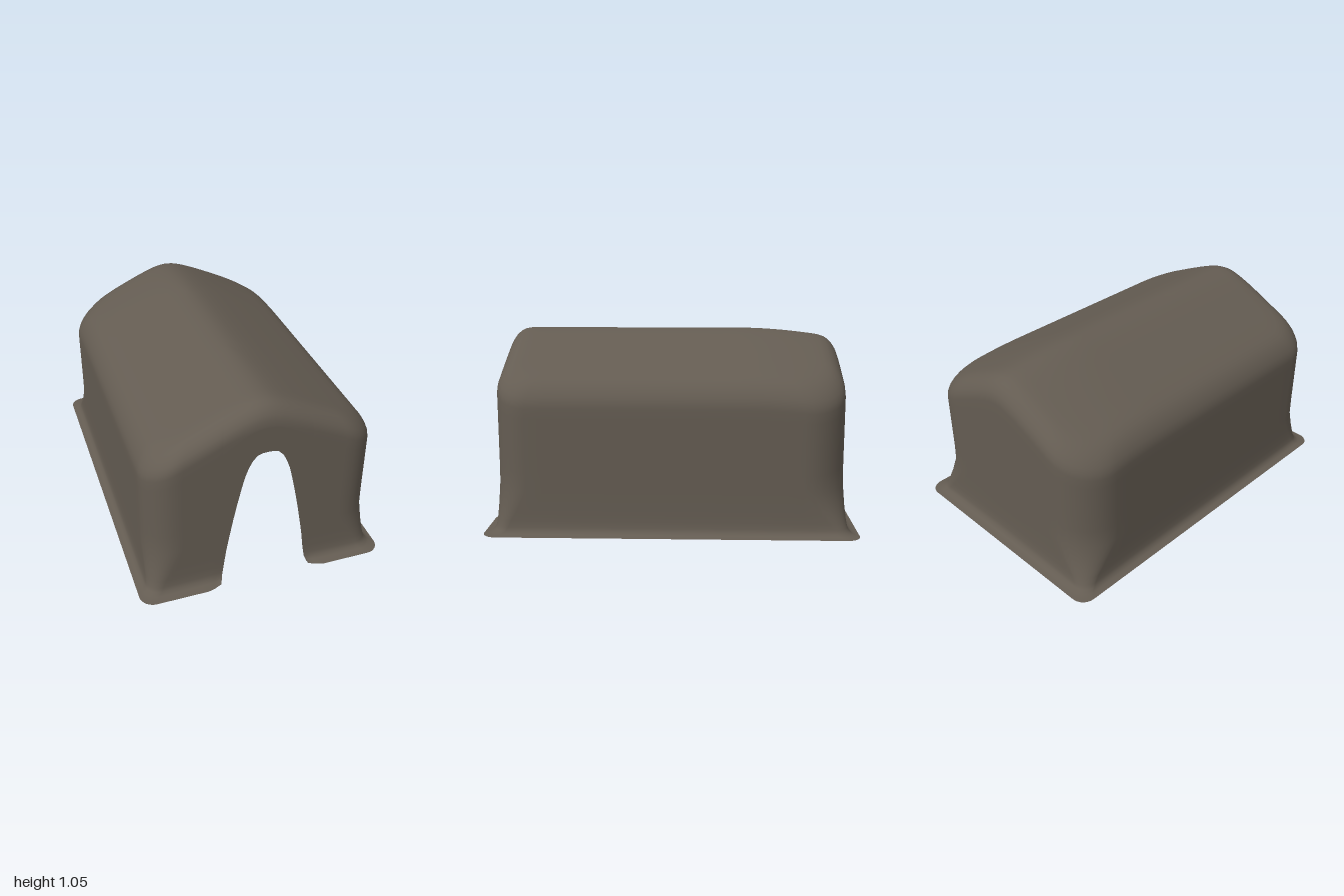
import * as THREE from 'three';
import { mergeVertices } from 'three/addons/utils/BufferGeometryUtils.js';

const HALF_X = 0.617, HALF_Z = 0.932, ROUND = 0.11;

const canvasMat = new THREE.MeshStandardMaterial({ color: 0x645c52, side: THREE.DoubleSide });
canvasMat.name = 'canvas';
const woodMat = new THREE.MeshStandardMaterial({ color: 0x7f5b45 });
woodMat.name = 'wood';

// Doorway edge: [distance from door centre, height]
const DOOR = [[0.236, 0], [0.232, 0.03], [0.223, 0.1], [0.21, 0.2], [0.193, 0.3], [0.175, 0.4], [0.155, 0.5],
  [0.133, 0.6], [0.118, 0.66], [0.1, 0.71], [0.08, 0.75], [0.055, 0.777], [0.03, 0.786], [0, 0.787]];
const DOOR_X = 0.008;

// Gabled roof height with a softened ridge and a droop to the back
function roofHeight(x, z) {
  const back = Math.max(0, -z - 0.35);
  return 1.05 - 0.5 * (Math.hypot(x, 0.1) - 0.1) - 0.16 * back * back;
}

// Footprint loop with rounded corners: front, left side, back, right side.
// Corners grow rounder from the skirt (t = 0) up the wall (t = 1).
// Each entry is [x, z, height of the lower edge].
function footprint(t) {
  const pts = [];
  const rf = 0.07 + 0.1 * t, rb = 0.07 + 0.17 * t;
  const corner = (sx, sz, r, start) => {
    const cx = sx * (HALF_X - r), cz = sz * (HALF_Z - r);
    for (let i = 0; i <= 8; i++) {
      const a = start - (i / 8) * Math.PI / 2;
      pts.push([cx + r * Math.cos(a), cz + r * Math.sin(a), 0]);
    }
  };
  const line = (x0, z0, x1, z1, n) => {
    for (let i = 1; i < n; i++) {
      const k = i / n;
      pts.push([x0 + (x1 - x0) * k, z0 + (z1 - z0) * k, 0]);
    }
  };
  const doorEdge = DOOR[0][0];
  line(-HALF_X + rf, HALF_Z, DOOR_X - doorEdge, HALF_Z, 10);
  for (const [dx, y] of DOOR) pts.push([DOOR_X - dx, HALF_Z, y]);
  for (const [dx, y] of DOOR.slice(0, -1).reverse()) pts.push([DOOR_X + dx, HALF_Z, y]);
  line(DOOR_X + doorEdge, HALF_Z, HALF_X - rf, HALF_Z, 10);
  corner(1, 1, rf, Math.PI / 2);
  line(HALF_X, HALF_Z - rf, HALF_X, -HALF_Z + rb, 16);
  corner(1, -1, rb, 0);
  line(HALF_X - rb, -HALF_Z, -HALF_X + rb, -HALF_Z, 16);
  corner(-1, -1, rb, -Math.PI / 2);
  line(-HALF_X, -HALF_Z + rb, -HALF_X, HALF_Z - rf, 16);
  corner(-1, 1, rf, Math.PI);
  return pts;
}

// Outward spread of the skirt, rounded off beside the doorway
function skirtFlare(x, y, z) {
  const flare = 0.045 * Math.exp(-y / 0.007) + 0.022 * Math.exp(-y / 0.035);
  if (z < HALF_Z - 0.01) return flare;
  const gap = THREE.MathUtils.clamp((Math.abs(x - DOOR_X) - 0.225) / 0.07, 0, 1);
  return flare * (0.3 + 0.7 * Math.sqrt(gap));
}

// One sheet: wall rings with a flared skirt, then roof rings closing on the ridge
function canopyGeometry() {
  const wallRows = [0, 0.004, 0.012, 0.03, 0.06, 0.11, 0.2, 0.35, 0.5, 0.65, 0.8, 0.92, 1];
  const insets = [0.004, 0.014, 0.03, 0.05, 0.075, 0.11, 0.16, 0.22, 0.29, 0.36, 0.43, 0.49, 0.54, 0.58, HALF_X];
  const top = footprint(1), n = top.length;
  const pos = [], index = [];

  for (const f of wallRows) {
    for (const [x, z, y0] of footprint(THREE.MathUtils.smoothstep(f, 0, 0.4))) {
      const y = y0 + (roofHeight(x, z) - ROUND - y0) * f;
      const flare = skirtFlare(x, y, z);
      pos.push(x * (1 + 0.84 * flare / HALF_X), y, z * (1 + flare / HALF_Z));
    }
  }
  for (const d of insets) {
    const k = Math.max(0, ROUND - d);
    const drop = ROUND - Math.sqrt(ROUND * ROUND - k * k);
    for (const [X, Z] of top) {
      const x = X * (1 - d / HALF_X), z = Z * (1 - d / HALF_Z);
      pos.push(x, roofHeight(x, z) - drop, z);
    }
  }
  const rows = wallRows.length + insets.length;
  for (let r = 0; r < rows - 1; r++) {
    for (let i = 0; i < n; i++) {
      const a = r * n + i, b = r * n + (i + 1) % n;
      index.push(a, b, b + n, a, b + n, a + n);
    }
  }
  let geo = new THREE.BufferGeometry();
  geo.setAttribute('position', new THREE.Float32BufferAttribute(pos, 3));
  geo.setIndex(index);
  geo = mergeVertices(geo, 1e-4);
  geo.computeVertexNormals();
  return geo;
}

// Round pole between two points
function pole(name, from, to) {
  const a = new THREE.Vector3(...from), b = new THREE.Vector3(...to);
  const dir = b.clone().sub(a);
  const mesh = new THREE.Mesh(new THREE.CylinderGeometry(0.024, 0.024, dir.length(), 10), woodMat);
  mesh.position.copy(a).add(b).multiplyScalar(0.5);
  mesh.quaternion.setFromUnitVectors(new THREE.Vector3(0, 1, 0), dir.normalize());
  mesh.name = name;
  return mesh;
}

export function createModel() {
  const tent = new THREE.Group();
  tent.name = 'tent';

  const canopy = new THREE.Mesh(canopyGeometry(), canvasMat);
  canopy.name = 'canopy';
  tent.add(canopy);

  // Three timber frames of two leaning posts and two rafters:
  // label, foot [x, z] on each side, eave height, ridge [y, z]
  const frames = [
    ['front', [[-0.54, 0.86], [0.53, 0.82]], 0.79, [0.98, 0.82]],
    ['middle', [[-0.525, 0.1], [0.56, 0.04]], 0.8, [0.99, 0.07]],
    ['back', [[-0.52, -0.81], [0.535, -0.82]], 0.75, [0.94, -0.78]],
  ];
  for (const [label, feet, eave, [ridgeY, ridgeZ]] of frames) {
    const frame = new THREE.Group();
    frame.name = label + 'Frame';
    for (const [x, z] of feet) {
      const head = [x * 0.88, eave, z * 0.97];
      frame.add(pole('post', [x, 0, z], head));
      frame.add(pole('rafter', head, [0, ridgeY, ridgeZ]));
    }
    tent.add(frame);
  }
  return tent;
}
